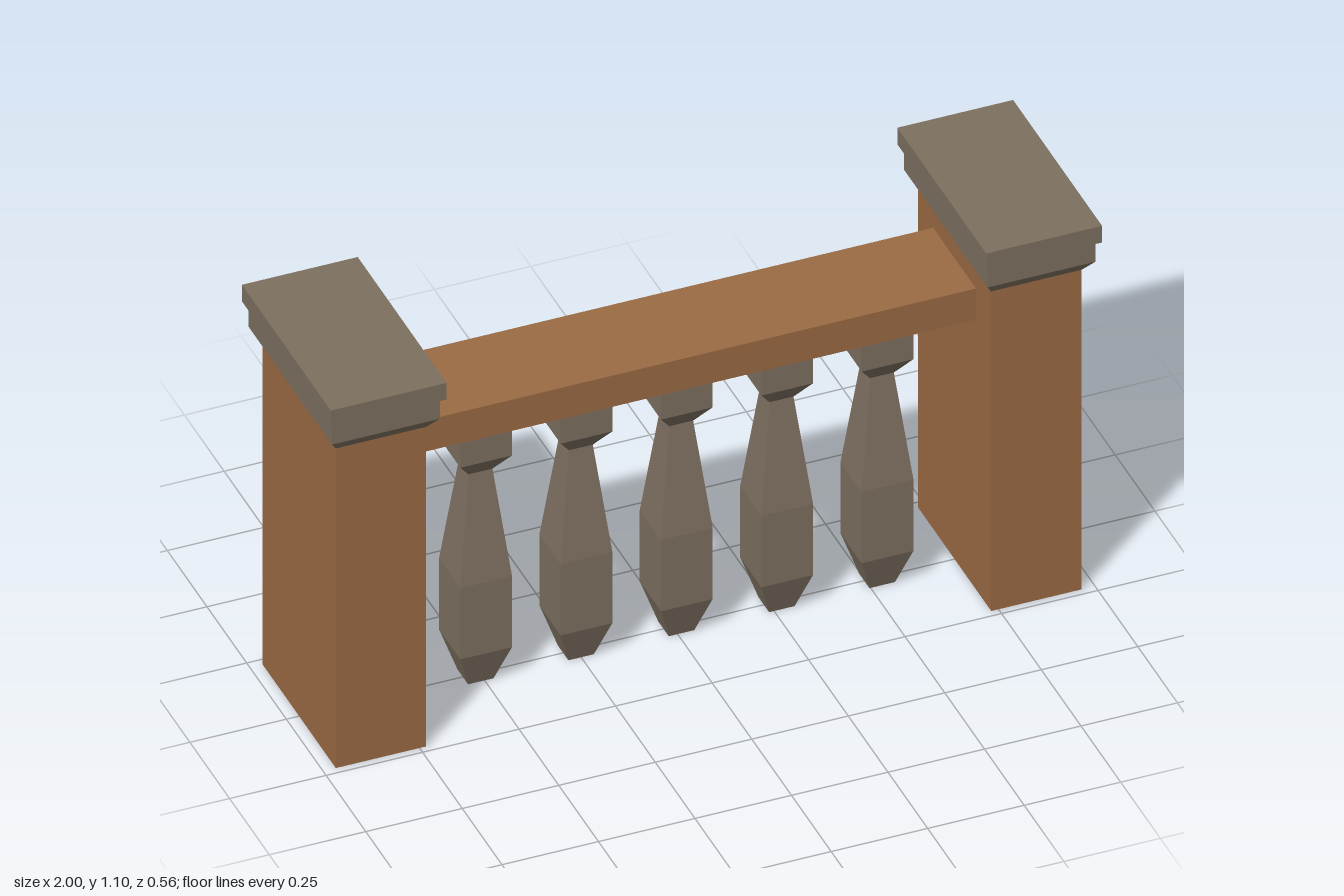
import * as THREE from 'three';

const stone = new THREE.MeshStandardMaterial({ color: 0x7d7060, flatShading: true });
const wood = new THREE.MeshStandardMaterial({ color: 0x9c6b45, flatShading: true });

// Flat-sided solid through rectangular sections [y, half width, half depth], bottom to top
function loft(sections) {
  const rings = sections.map(([y, w, d]) => [[-w, y, d], [w, y, d], [w, y, -d], [-w, y, -d]]);
  const pos = [];
  const quad = (a, b, c, d) => pos.push(...a, ...b, ...c, ...a, ...c, ...d);
  for (let i = 0; i < rings.length - 1; i++) {
    const lo = rings[i], hi = rings[i + 1];
    for (let j = 0; j < 4; j++) {
      const k = (j + 1) % 4;
      quad(lo[j], lo[k], hi[k], hi[j]);
    }
  }
  const top = rings[rings.length - 1];
  quad(...top);
  quad(...rings[0].slice().reverse());
  const geometry = new THREE.BufferGeometry();
  geometry.setAttribute('position', new THREE.Float32BufferAttribute(pos, 3));
  geometry.computeVertexNormals();
  return geometry;
}

function addMesh(parent, name, geometry, material, x = 0, y = 0) {
  const mesh = new THREE.Mesh(geometry, material);
  mesh.name = name;
  mesh.position.set(x, y, 0);
  parent.add(mesh);
}

export function createModel() {
  const model = new THREE.Group();
  model.name = 'balustrade';

  // End posts with a stone underside and moulded caps
  const postGeometry = new THREE.BoxGeometry(0.234, 0.942, 0.462);
  const postMaterials = [wood, wood, wood, stone, wood, wood];
  const capGeometry = loft([
    [0.942, 0.117, 0.231],
    [0.98, 0.14, 0.262],
    [1.036, 0.14, 0.262],
    [1.046, 0.15, 0.28],
    [1.095, 0.15, 0.28],
  ]);
  for (const [side, x] of [['left', 0.848], ['right', -0.85]]) {
    addMesh(model, side + 'Post', postGeometry, postMaterials, x, 0.471);
    addMesh(model, side + 'Cap', capGeometry, stone, x);
  }

  // Handrail between the posts
  addMesh(model, 'rail', new THREE.BoxGeometry(1.464, 0.092, 0.27), wood, 0, 0.841);

  // Row of square balusters
  const balusterGeometry = loft([
    [0, 0.033], [0.105, 0.067], [0.315, 0.067],
    [0.617, 0.031], [0.67, 0.067], [0.795, 0.067],
  ].map(([y, w]) => [y, w, w]));
  for (let i = 0; i < 5; i++) {
    addMesh(model, 'baluster' + (i + 1), balusterGeometry, stone, 0.01 + (i - 2) * 0.26);
  }
  return model;
}
